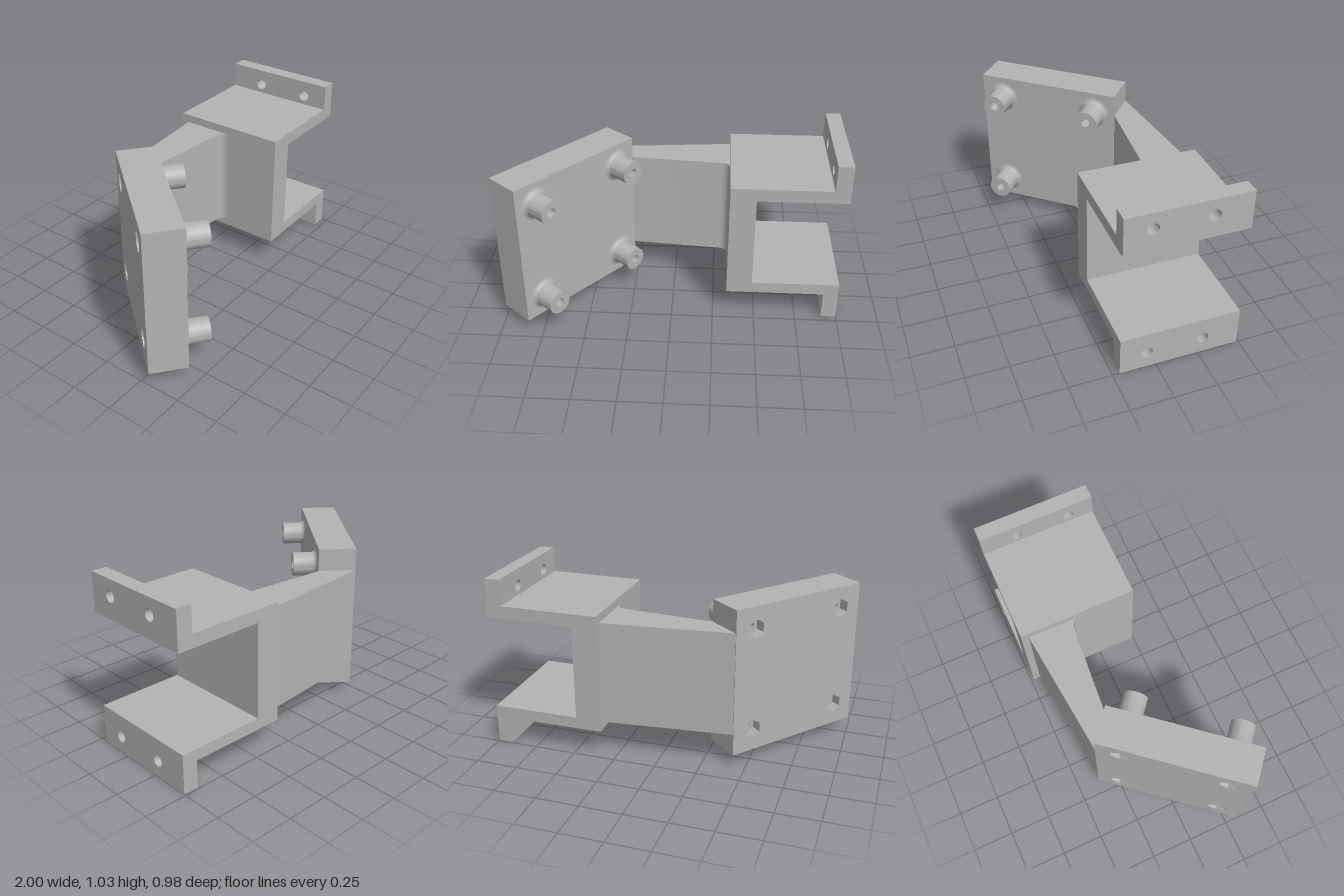
import * as THREE from 'three';
import { toCreasedNormals } from 'three/addons/utils/BufferGeometryUtils.js';

const grey = new THREE.MeshStandardMaterial({ color: 0xb3b3b3 });
grey.name = 'plain grey';

const polygon = (pts) => new THREE.Shape(pts.map(([x, y]) => new THREE.Vector2(x, y)));

function rectangle(x0, y0, x1, y1) {
  return polygon([[x0, y0], [x1, y0], [x1, y1], [x0, y1]]);
}

function roundHole(shape, x, y, r) {
  shape.holes.push(new THREE.Path().absarc(x, y, r, 0, Math.PI * 2, true));
}

// hexagonal hole with corners pointing up and down
function hexHole(shape, x, y, r) {
  const pts = [];
  for (let i = 0; i < 6; i++) {
    const a = Math.PI / 2 - i * Math.PI / 3;
    pts.push(new THREE.Vector2(x + r * Math.cos(a), y + r * Math.sin(a)));
  }
  shape.holes.push(new THREE.Path(pts));
}

function extrude(shape, depth) {
  return new THREE.ExtrudeGeometry(shape, { depth, bevelEnabled: false, curveSegments: 32 });
}

function part(name, geometry) {
  const mesh = new THREE.Mesh(toCreasedNormals(geometry, 0.5), grey);
  mesh.name = name;
  return mesh;
}

// U-shaped channel with two drilled flanges
function createBracket() {
  const bracket = new THREE.Group();
  bracket.name = 'bracket';
  const zBack = -0.49, zFront = 0.21;

  const channel = polygon([
    [0.33, 0.165], [0.91, 0.165], [0.91, 0.235], [0.48, 0.235],
    [0.48, 0.8], [0.91, 0.8], [0.91, 0.875], [0.33, 0.875],
  ]);
  bracket.add(part('channel', extrude(channel, zFront - zBack).translate(0, 0, zBack)));

  for (const [name, y0, y1, holeY] of [['lowerFlange', 0, 0.235, 0.1], ['upperFlange', 0.8, 1.03, 0.932]]) {
    // drawn with -z as horizontal axis, then turned to extrude along +x
    const shape = rectangle(-zFront, y0, -zBack, y1);
    for (const z of [0.055, -0.275]) roundHole(shape, -z, holeY, 0.034);
    bracket.add(part(name, extrude(shape, 0.09).rotateY(Math.PI / 2).translate(0.91, 0, 0)));
  }
  return bracket;
}

// tapered arm, with a fillet where it meets the bracket
function createArm() {
  const shape = new THREE.Shape();
  shape.moveTo(-0.43, 0.372);
  shape.lineTo(-0.265, 0.235);
  shape.lineTo(0.27, 0.19);
  shape.quadraticCurveTo(0.328, 0.185, 0.33, 0.135);
  shape.lineTo(0.33, 0.447);
  shape.closePath();
  return part('arm', extrude(shape, 0.615).rotateX(-Math.PI / 2).translate(0, 0.21, 0));
}

// angled square plate with bored bosses in front and nut pockets behind
function createPlate() {
  const plate = new THREE.Group();
  plate.name = 'mountingPlate';
  const half = 0.4425, thick = 0.22, pocket = 0.06, spacing = 0.307, bore = 0.027;
  const centres = [[-1, -1], [1, -1], [1, 1], [-1, 1]].map(([x, y]) => [x * spacing, y * spacing]);

  const back = rectangle(-half, -0.44, half, 0.44);
  const front = rectangle(-half, -0.44, half, 0.44);
  for (const [x, y] of centres) {
    hexHole(back, x, y, 0.057);
    roundHole(front, x, y, bore);
  }
  plate.add(part('pocketLayer', extrude(back, pocket).translate(0, 0, -thick / 2)));
  plate.add(part('frontLayer', extrude(front, thick - pocket).translate(0, 0, pocket - thick / 2)));

  // boss profile: concave fillet, outer wall, end face, bore
  const r = 0.07, fillet = 0.03, height = 0.14;
  const profile = [];
  for (let i = 0; i <= 6; i++) {
    const a = (i / 6) * Math.PI / 2;
    profile.push(new THREE.Vector2(r + fillet * (1 - Math.sin(a)), fillet * (1 - Math.cos(a))));
  }
  profile.push(new THREE.Vector2(r, height), new THREE.Vector2(bore, height), new THREE.Vector2(bore, 0));
  const boss = new THREE.LatheGeometry(profile, 48).rotateX(Math.PI / 2);
  for (const [x, y] of centres) {
    const mesh = part('boss', boss);
    mesh.position.set(x, y, thick / 2);
    plate.add(mesh);
  }

  plate.position.set(-0.632, 0.516, 0.038);
  plate.rotation.y = THREE.MathUtils.degToRad(50);
  return plate;
}

export function createModel() {
  const model = new THREE.Group();
  model.name = 'mountingBracket';
  model.add(createBracket(), createArm(), createPlate());
  return model;
}
